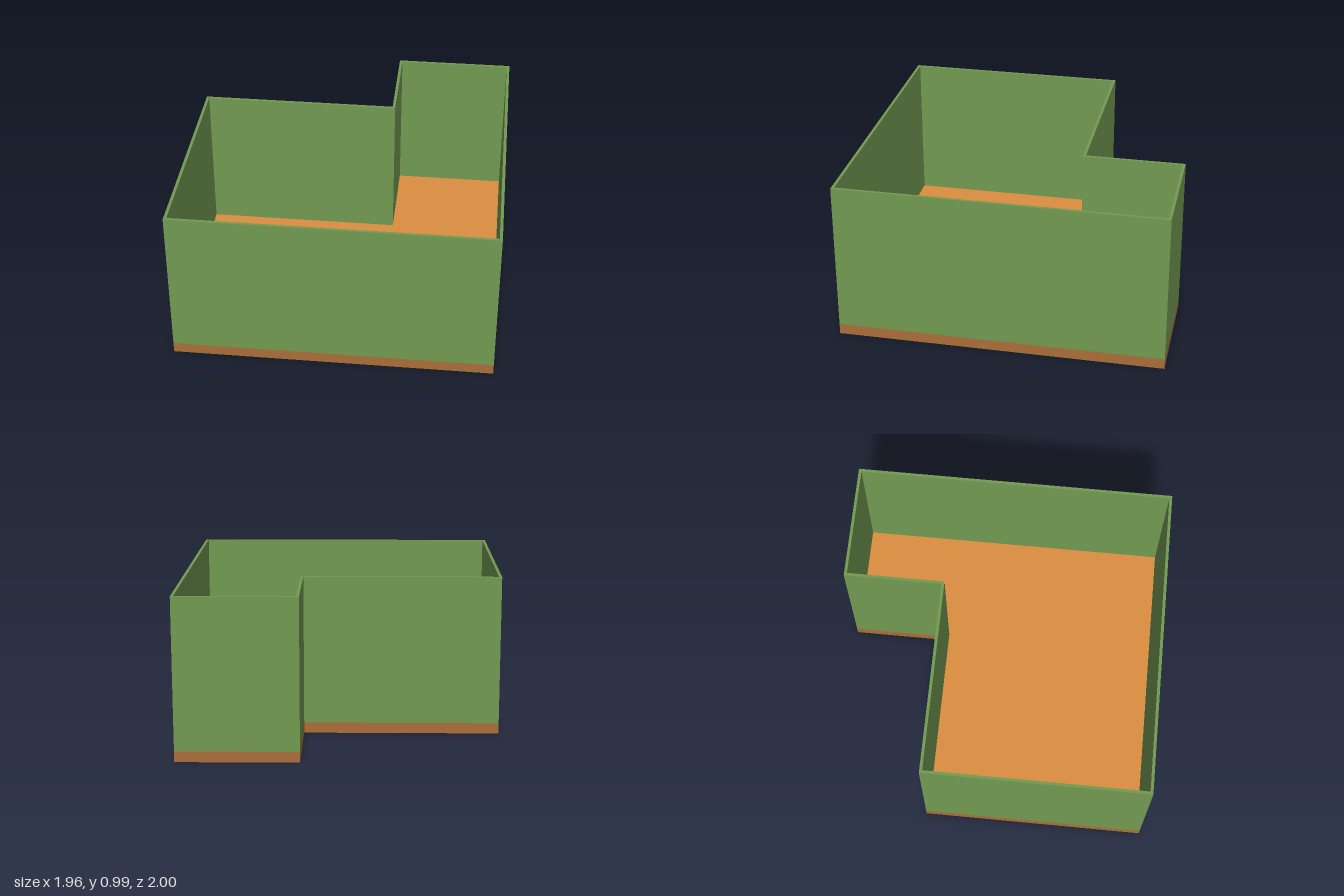
import * as THREE from 'three';

const WALL = 0.018;
const BASE_BOTTOM = 0.006, BASE_TOP = 0.072, WALL_TOP = 1;

// L-shaped plan, shrunk inwards by d; plan y is -z
function outline(d) {
  const l = -0.98 + d, r = 0.975 - d, f = -1 + d, b = 1 - d;
  const nx = 0.235 + d, nb = 0.39 - d;
  return [[l, f], [r, f], [r, b], [nx, b], [nx, nb], [l, nb]]
    .map(([x, y]) => new THREE.Vector2(x, y));
}

// Extrude a plan upwards from y0 to y1
function raise(name, shape, y0, y1, material) {
  const geometry = new THREE.ExtrudeGeometry(shape, { depth: y1 - y0, bevelEnabled: false });
  geometry.rotateX(-Math.PI / 2);
  geometry.translate(0, y0, 0);
  const mesh = new THREE.Mesh(geometry, material);
  mesh.name = name;
  return mesh;
}

function paint(name, color) {
  const material = new THREE.MeshStandardMaterial({ color });
  material.name = name;
  return material;
}

export function createModel() {
  const group = new THREE.Group();
  group.name = 'openRoom';

  const green = paint('wall green', 0x739a52);
  const brown = paint('base edge brown', 0xab6e39);
  const tan = paint('floor tan', 0xdc8f42);

  // Floor slab: tan above and below, brown around the edge
  group.add(raise('floorSlab', new THREE.Shape(outline(0)), BASE_BOTTOM, BASE_TOP, [tan, brown]));

  // Thin perimeter walls, open at the top
  const ring = new THREE.Shape(outline(0));
  ring.holes.push(new THREE.Path(outline(WALL).reverse()));
  group.add(raise('walls', ring, BASE_TOP, WALL_TOP, green));

  return group;
}
